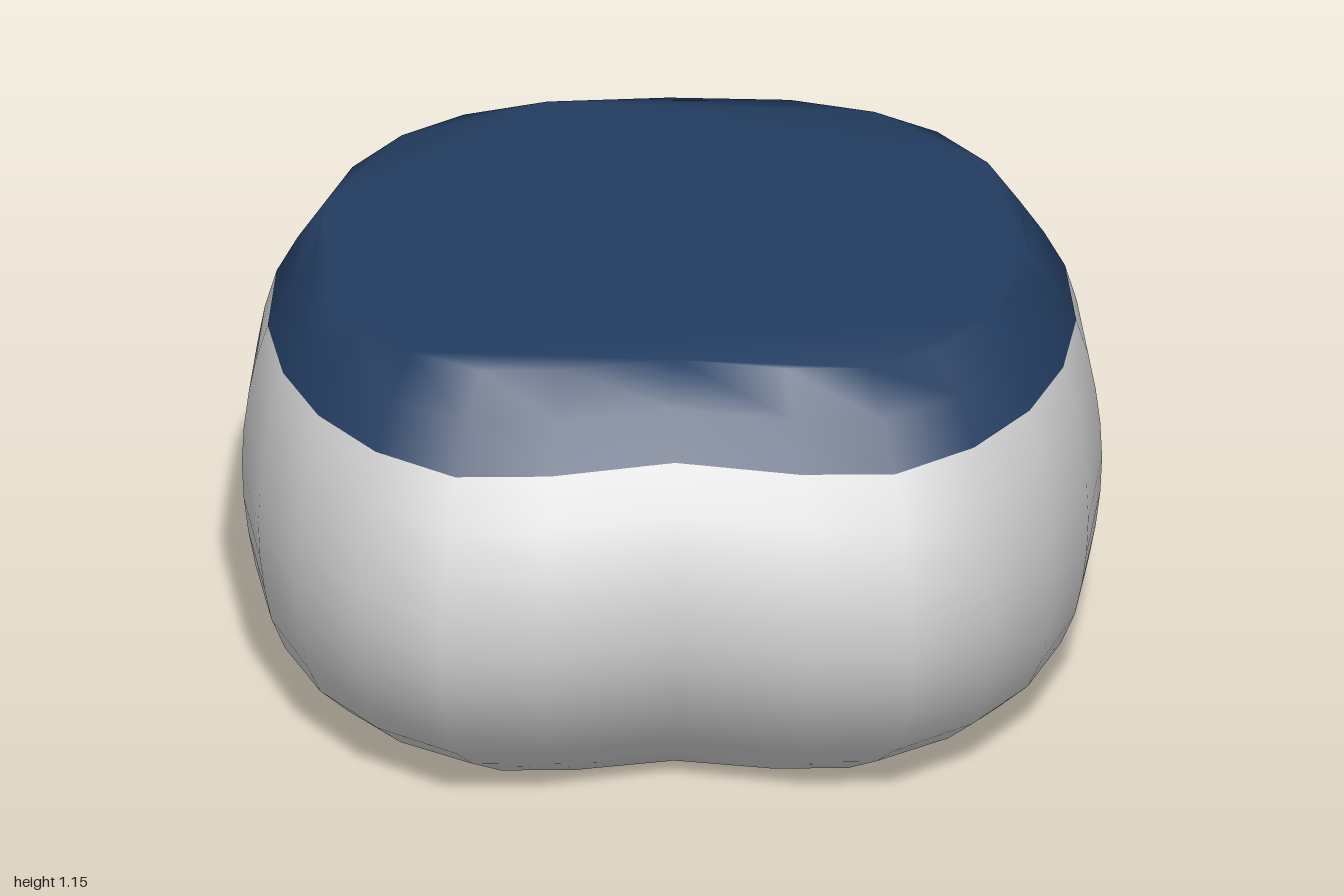
import * as THREE from 'three';

// Half outline, back centre to front centre: [x, z], each relative to the ring's extents
const HALF = [
  [0, -1], [0.34, -0.98], [0.575, -0.9], [0.75, -0.77], [0.89, -0.57], [0.975, -0.33], [1, 0],
  [0.965, 0.31], [0.88, 0.59], [0.74, 0.83], [0.545, 1], [0.31, 1], [0, 0.916],
];
const OUTLINE = [...HALF, ...HALF.slice(1, -1).reverse().map(([x, z]) => [-x, z])];

// Evenly stacked rings, bottom to top: [half width, front z, back z]
const RINGS = [
  [0.74, 0.36, -0.585], [0.86, 0.475, -0.655], [0.935, 0.575, -0.7], [0.968, 0.65, -0.72],
  [0.985, 0.71, -0.726], [0.996, 0.747, -0.732], [1, 0.76, -0.737], [0.996, 0.747, -0.742],
  [0.985, 0.71, -0.748], [0.968, 0.65, -0.754], [0.94, 0.567, -0.76], [0.89, 0.483, -0.747],
  [0.83, 0.41, -0.72],
];
const HEIGHT = 1.155;
const MID_Z = -0.07;
const SEAM = 10; // ring where the coloured top begins

export function createModel() {
  const n = OUTLINE.length;
  const last = RINGS.length - 1;
  const positions = [];
  RINGS.forEach(([w, front, back], i) => {
    for (const [x, t] of OUTLINE) {
      const z = MID_Z + (t > 0 ? t * (front - MID_Z) : t * (MID_Z - back));
      positions.push(x * w, (HEIGHT * i) / last, z);
    }
  });

  // Wall between two rings
  const wall = (from, to) => {
    const index = [];
    for (let i = from; i < to; i++) {
      for (let j = 0; j < n; j++) {
        const a = i * n + j, b = i * n + ((j + 1) % n);
        index.push(a, a + n, b + n, a, b + n, b);
      }
    }
    return index;
  };

  // Flat end across one ring, facing up or down
  const end = (ring, up) => {
    const pts = OUTLINE.map((_, j) => {
      const k = (ring * n + j) * 3;
      return new THREE.Vector2(positions[k], -positions[k + 2]);
    });
    return THREE.ShapeUtils.triangulateShape(pts, []).flatMap(([a, b, c]) => {
      const facesUp = THREE.ShapeUtils.area([pts[a], pts[b], pts[c]]) > 0;
      return (facesUp === up ? [a, b, c] : [a, c, b]).map((v) => v + ring * n);
    });
  };

  const bodyIndex = [...end(0, false), ...wall(0, SEAM)];
  const topIndex = [...wall(SEAM, last), ...end(last, true)];

  // One smooth skin, so shading runs on across the seam
  const skin = new THREE.BufferGeometry();
  skin.setAttribute('position', new THREE.Float32BufferAttribute(positions, 3));
  skin.setIndex([...bodyIndex, ...topIndex]);
  skin.computeVertexNormals();

  const group = new THREE.Group();
  const addPart = (name, index, color) => {
    const geometry = skin.clone();
    geometry.setIndex(index);
    const mesh = new THREE.Mesh(geometry, new THREE.MeshStandardMaterial({ color }));
    mesh.name = name;
    group.add(mesh);
  };
  addPart('body', bodyIndex, 0xcccccc);
  addPart('topCap', topIndex, 0x223c60);
  return group;
}
